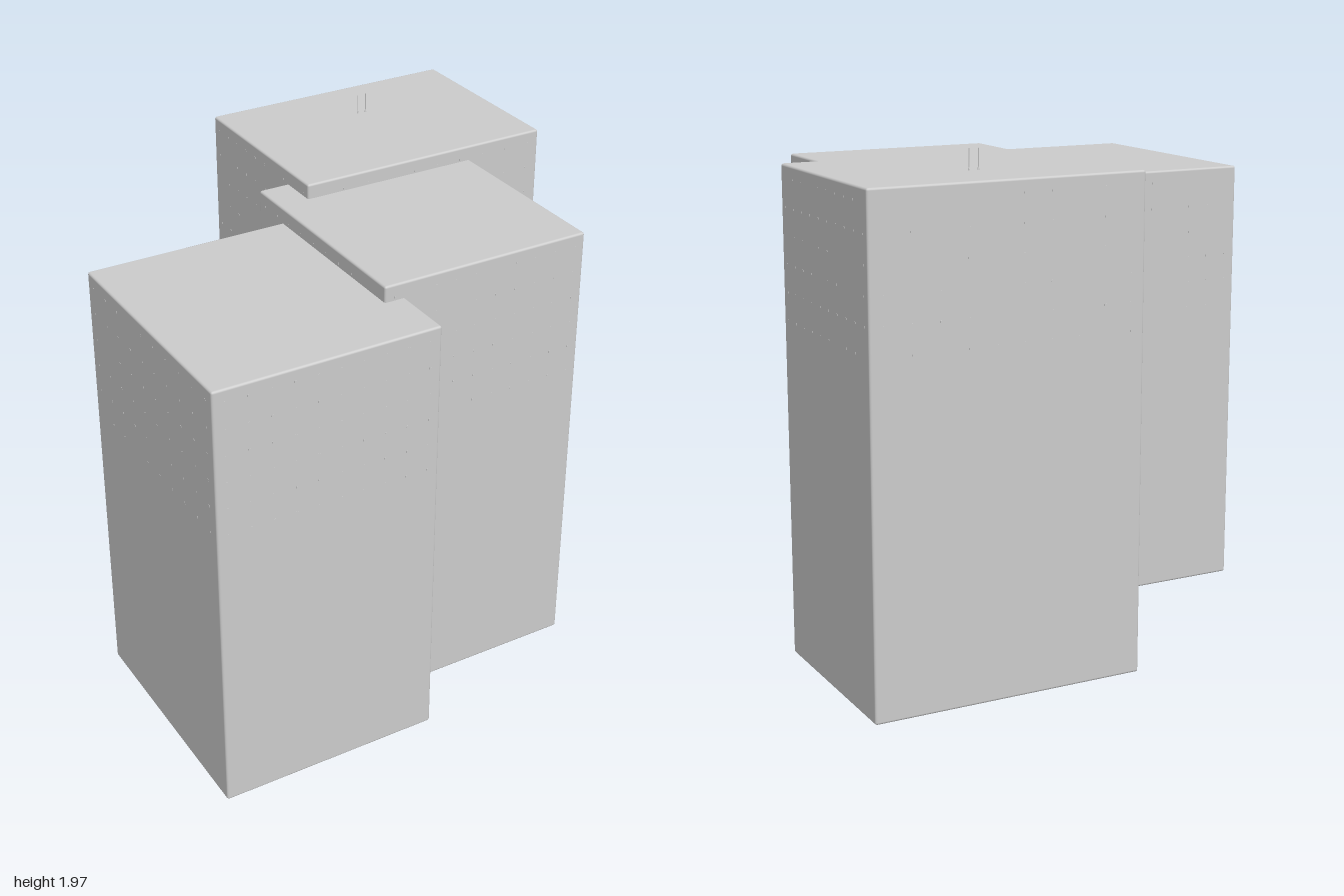
import * as THREE from 'three';
import { RoundedBoxGeometry } from 'three/addons/geometries/RoundedBoxGeometry.js';
import { mergeGeometries } from 'three/addons/utils/BufferGeometryUtils.js';

const material = new THREE.MeshStandardMaterial({ color: 0xcccccc });

function addMesh(parent, name, geometry, x, y, z) {
  const mesh = new THREE.Mesh(geometry, material);
  mesh.name = name;
  mesh.position.set(x, y, z);
  parent.add(mesh);
  return mesh;
}

// Tiny raised studs in rows around the upper part of a block
function studGeometry(w, h, d) {
  const parts = [];
  const size = 0.007, proud = 0.002, rows = 6, rowGap = 0.105;
  const stud = (sx, sz, x, y, z) =>
    parts.push(new THREE.BoxGeometry(sx, size, sz).translate(x, y, z));
  for (let r = 0; r < rows; r++) {
    const y = h / 2 - 0.05 - r * rowGap;
    for (let i = 0; i < 10; i++) {
      const t = (i + 0.5) / 10 - 0.5;
      for (const s of [-1, 1]) {
        stud(size, proud, t * w, y, s * d / 2);
        stud(proud, size, s * w / 2, y, t * d);
      }
    }
  }
  return mergeGeometries(parts);
}

// One softly bevelled block with its studs
function makeTower(name, x0, x1, z0, z1, h) {
  const tower = new THREE.Group();
  tower.name = name;
  const w = x1 - x0, d = z1 - z0;
  addMesh(tower, 'block', new RoundedBoxGeometry(w, h, d, 2, 0.009), 0, 0, 0);
  addMesh(tower, 'studs', studGeometry(w, h, d), 0, 0, 0);
  tower.position.set((x0 + x1) / 2, h / 2, (z0 + z1) / 2);
  return tower;
}

export function createModel() {
  const model = new THREE.Group();
  model.name = 'steppedTowers';

  // Three overlapping blocks, stepping up towards the back
  model.add(
    makeTower('frontTower', -1, -0.11, -0.095, 0.895, 1.765),
    makeTower('middleTower', -0.195, 0.67, -0.275, 0.655, 1.828),
    makeTower('backTower', -0.072, 1, -0.895, -0.11, 1.887)
  );

  // Pair of hair-thin masts on the tallest roof
  for (const x of [0.455, 0.492]) {
    addMesh(model, 'mast', new THREE.CylinderGeometry(0.0015, 0.0015, 0.08, 6), x, 1.927, -0.625);
    addMesh(model, 'mastFoot', new THREE.CylinderGeometry(0.0015, 0.004, 0.012, 6), x, 1.893, -0.625);
  }
  return model;
}
